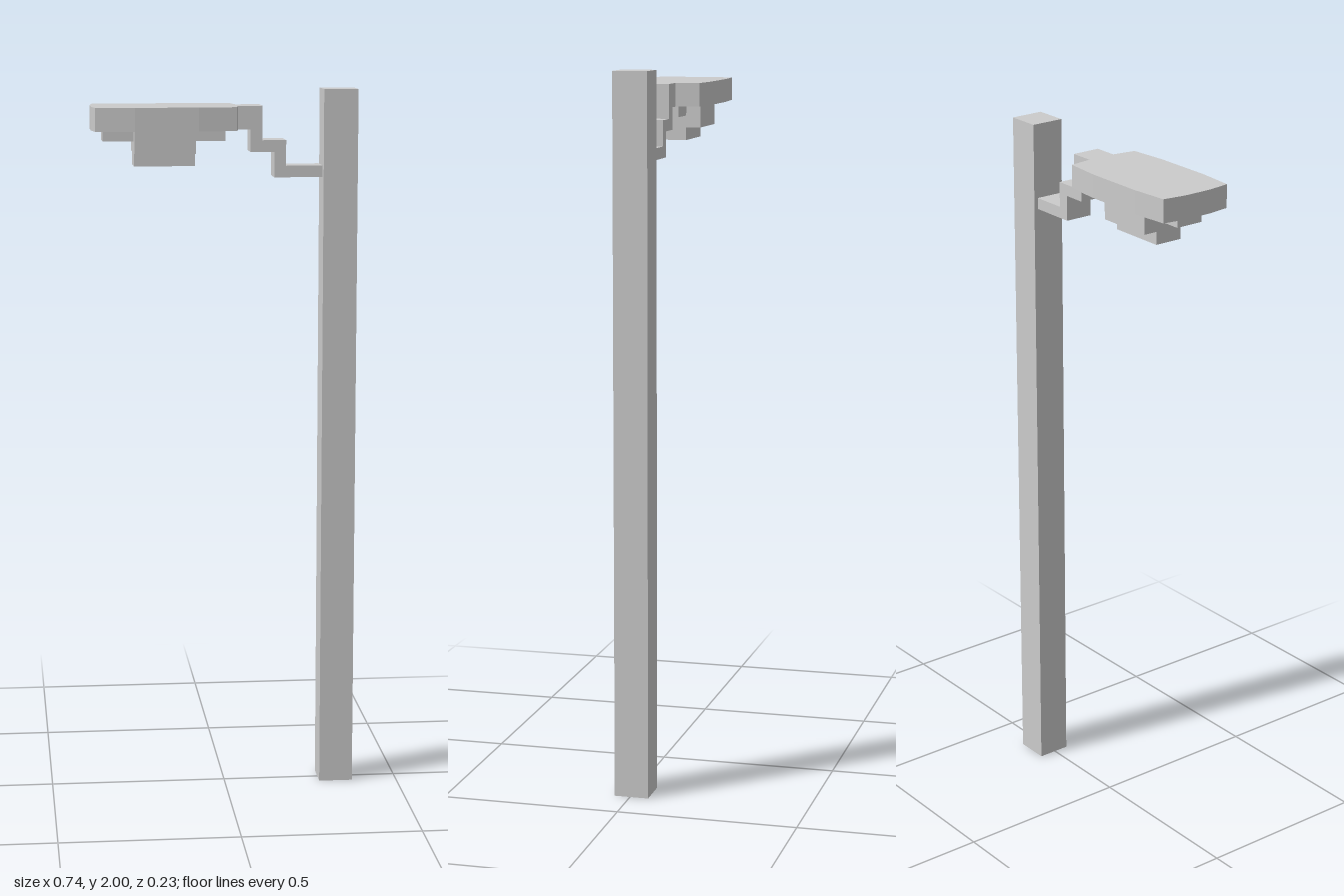
import * as THREE from 'three';

const material = new THREE.MeshStandardMaterial({ color: 0xcccccc, flatShading: true, side: THREE.DoubleSide });

function add(group, name, geometry) {
  const mesh = new THREE.Mesh(geometry, material);
  mesh.name = name;
  group.add(mesh);
  return mesh;
}

// Box given by its limits on each axis
function box(x0, x1, y0, y1, z0, z1) {
  return new THREE.BoxGeometry(x1 - x0, y1 - y0, z1 - z0)
    .translate((x0 + x1) / 2, (y0 + y1) / 2, (z0 + z1) / 2);
}

function extrude(points, depth) {
  const shape = new THREE.Shape(points.map(([x, y]) => new THREE.Vector2(x, y)));
  return new THREE.ExtrudeGeometry(shape, { depth, bevelEnabled: false });
}

export function createModel() {
  const model = new THREE.Group();
  model.name = 'streetLamp';

  // Square hollow post, open at the foot
  const post = box(0.275, 0.371, 0, 2, -0.052, 0.044);
  const index = Array.from(post.index.array);
  index.splice(18, 6); // drop the bottom face
  post.setIndex(index);
  add(model, 'post', post);

  // Stepped bracket from the post up to the lamp head
  const steps = [
    [0.272, 1.757], [0.272, 1.789], [0.17, 1.789], [0.17, 1.86], [0.104, 1.86], [0.104, 1.955],
    [0.03, 1.955], [0.03, 1.89], [0.07, 1.89], [0.07, 1.828], [0.137, 1.828], [0.137, 1.757],
  ];
  add(model, 'bracket', extrude(steps, 0.082).translate(0, 0, -0.042));

  // Lamp head: flat slab with bowed sides
  const side = [[0.035, 0.042], [0.026, 0.107], [-0.08, 0.116], [-0.255, 0.116], [-0.363, 0.107], [-0.372, 0.042]];
  const outline = [...side, ...side.map(([x, z]) => [x, -z]).reverse()];
  add(model, 'lampHead', extrude(outline, 0.065).rotateX(-Math.PI / 2).translate(0, 1.89, -0.001));

  // Stacked fittings under the head
  add(model, 'mountingPlate', box(-0.34, 0, 1.859, 1.89, -0.042, 0.04));
  add(model, 'lampHousing', box(-0.254, -0.085, 1.826, 1.89, -0.083, 0.083));
  add(model, 'lampLens', box(-0.254, -0.085, 1.79, 1.826, -0.042, 0.04));

  return model;
}
